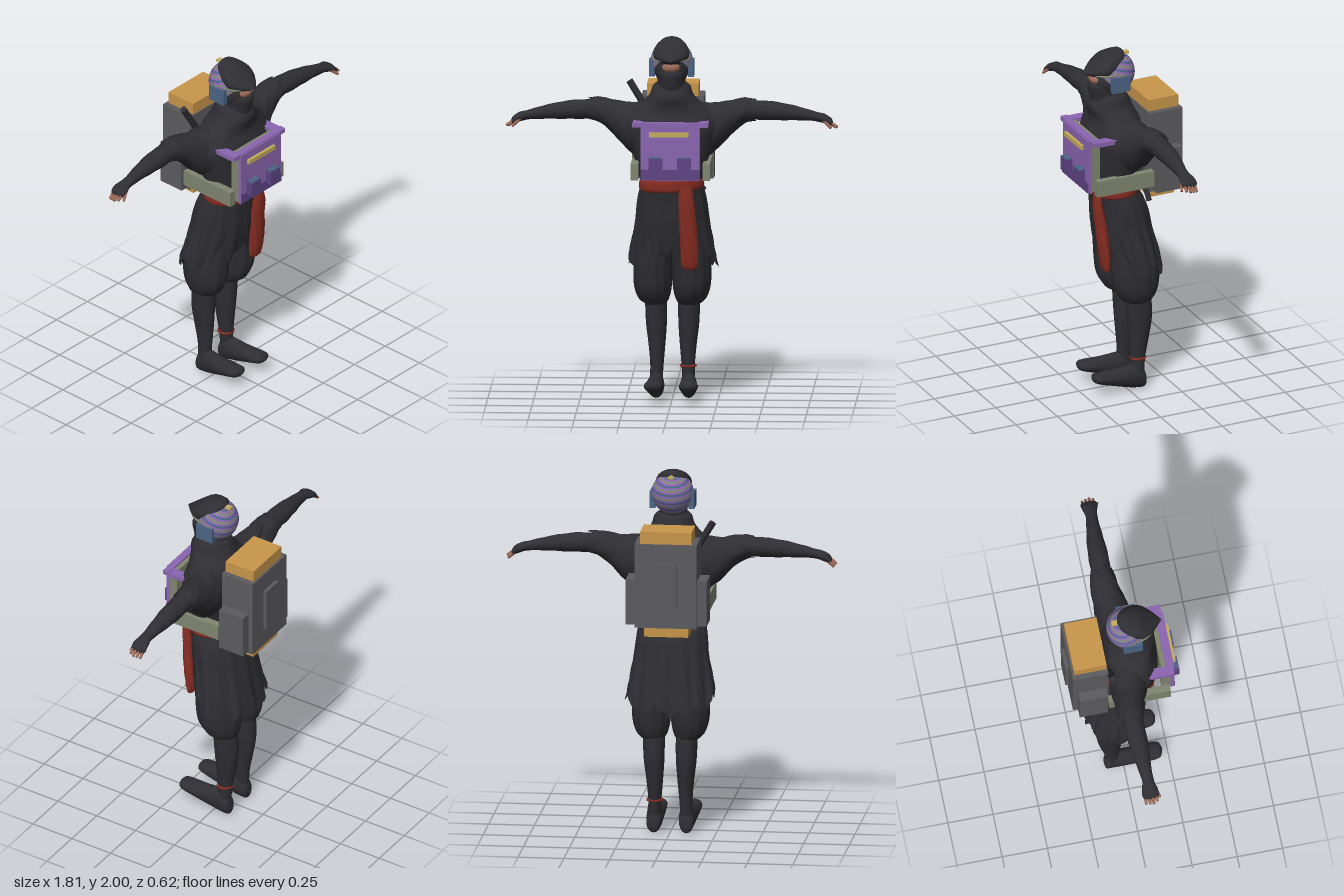
import * as THREE from 'three';

const mat = (name, color, side = THREE.FrontSide) => {
  const m = new THREE.MeshStandardMaterial({ color, side });
  m.name = name;
  return m;
};

// Closed-ring loft along an axis. Section: [along, c1, c2, r1, r2];
// centres and radii are (z,x) for axis y, (y,z) for axis x, (x,y) for axis z.
function loft(axis, sections, { seg = 24, sub = 4, fold } = {}) {
  const rows = [];
  const last = sections.length - 1;
  for (let i = 0; i < last; i++) {
    const [p0, p1, p2, p3] = [-1, 0, 1, 2].map(k => sections[Math.min(last, Math.max(0, i + k))]);
    for (let s = 0; s < sub; s++) {
      const t = s / sub;
      rows.push(p1.map((b, k) => {
        const v = 0.5 * (2 * b + (p2[k] - p0[k]) * t + (2 * p0[k] - 5 * b + 4 * p2[k] - p3[k]) * t * t
          + (3 * b - p0[k] - 3 * p2[k] + p3[k]) * t * t * t);
        return k > 2 ? Math.max(v, 0.001) : v;
      }));
    }
  }
  rows.push(sections[last]);
  const pos = [], idx = [], o = 'xyz'.indexOf(axis);
  const flip = sections[last][0] < sections[0][0];
  rows.forEach(([d, c1, c2, r1, r2], j) => {
    for (let i = 0; i < seg; i++) {
      const a = i / seg * Math.PI * 2;
      const [k, shift] = fold ? fold(a, j / (rows.length - 1)) : [1, 0];
      const p = [0, 0, 0];
      p[o] = d + shift;
      p[(o + 1) % 3] = c1 + Math.cos(a) * r1 * k;
      p[(o + 2) % 3] = c2 + Math.sin(a) * r2 * k;
      pos.push(...p);
      if (j === rows.length - 1) continue;
      const n = (i + 1) % seg, A = j * seg + i, B = j * seg + n, C = B + seg, D = A + seg;
      idx.push(...(flip ? [A, C, B, A, D, C] : [A, B, C, A, C, D]));
    }
  });
  const g = new THREE.BufferGeometry();
  g.setAttribute('position', new THREE.Float32BufferAttribute(pos, 3));
  g.setIndex(idx);
  g.computeVertexNormals();
  return g;
}

export function createModel() {
  const root = new THREE.Group();
  root.name = 'figure';
  const cloth = mat('blackCloth', 0x2e2e33, THREE.DoubleSide);
  const purple = mat('purple', 0x8b66b0), plum = mat('darkPurple', 0x5e4484);
  const orange = mat('orange', 0xc8964a), grey = mat('packGrey', 0x5c5c60);
  const sage = mat('sage', 0x7f866f), red = mat('red', 0x872d22, THREE.DoubleSide);
  const skin = mat('skin', 0x9c6a58), blue = mat('slateBlue', 0x4a6484), yellow = mat('yellow', 0xc4ad5c);

  const add = (name, geo, m) => {
    const mesh = new THREE.Mesh(geo, m);
    mesh.name = name;
    root.add(mesh);
    return mesh;
  };
  // Box from its min and max limits on each axis
  const box = (name, m, [x0, x1], [y0, y1], [z0, z1]) => add(name,
    new THREE.BoxGeometry(x1 - x0, y1 - y0, z1 - z0)
      .translate((x0 + x1) / 2, (y0 + y1) / 2, (z0 + z1) / 2), m);
  const ball = (name, m, c, r) => add(name,
    new THREE.SphereGeometry(1, 28, 20).scale(...r).translate(...c), m);
  // Straight rod between two points
  const rod = (name, m, a, b, r0, r1, seg = 8) => {
    const p = new THREE.Vector3(...a), d = new THREE.Vector3(...b).sub(p);
    const mesh = add(name, new THREE.CylinderGeometry(r1, r0, d.length(), seg), m);
    mesh.position.copy(p).addScaledVector(d, 0.5);
    mesh.quaternion.setFromUnitVectors(new THREE.Vector3(0, 1, 0), d.normalize());
  };
  const span = (s, a, b) => s > 0 ? [a, b] : [-b, -a];

  // Tunic body with cowl collar
  add('tunic', loft('y', [
    [1.15, 0.06, 0, 0.11, 0.155], [1.2, 0.06, 0, 0.12, 0.165], [1.3, 0.06, 0, 0.135, 0.19],
    [1.42, 0.055, 0, 0.145, 0.225], [1.52, 0.055, 0, 0.145, 0.25], [1.6, 0.045, 0, 0.13, 0.215],
    [1.645, 0.055, 0, 0.125, 0.16], [1.69, 0.07, 0, 0.12, 0.118], [1.74, 0.07, 0, 0.095, 0.1],
    [1.77, 0.075, 0, 0.07, 0.06]
  ], { seg: 40, fold: (a, t) => [1 + 0.015 * Math.sin(a * 9 + t * 14), 0] }), cloth);

  // Ragged skirt, longest at the back
  add('skirt', loft('y', [
    [0.76, -0.045, 0, 0.165, 0.235], [0.85, -0.025, 0, 0.16, 0.222], [0.98, 0, 0, 0.155, 0.2],
    [1.1, 0.02, 0, 0.145, 0.19], [1.21, 0.06, 0, 0.12, 0.165]
  ], {
    seg: 96, sub: 5,
    fold: (a, t) => [
      1 + (1 - t) * (0.045 * Math.sin(a * 13) + 0.03 * Math.sin(a * 29 + t * 12)),
      (1 - t) ** 3 * (0.055 * Math.cos(a) + 0.025 * Math.sin(a * 7 + 1) + 0.02 * Math.sin(a * 23))
    ]
  }), cloth);

  // Waist sash and hanging tail
  add('sash', loft('y', [
    [1.165, 0.055, 0, 0.13, 0.16], [1.18, 0.055, 0, 0.138, 0.176],
    [1.225, 0.058, 0, 0.136, 0.174], [1.24, 0.058, 0, 0.12, 0.16]
  ], { seg: 40, fold: a => [1, 0.008 * Math.sin(a)] }), red);
  add('sashTail', loft('y', [
    [0.735, 0.14, 0.105, 0.002, 0.01], [0.76, 0.14, 0.1, 0.018, 0.042], [0.88, 0.15, 0.1, 0.028, 0.046],
    [1.02, 0.165, 0.09, 0.028, 0.044], [1.12, 0.178, 0.085, 0.022, 0.04], [1.2, 0.18, 0.08, 0.015, 0.03]
  ], { seg: 32, fold: (a, t) => [1 + 0.12 * Math.sin(a * 8 + t * 16), 0] }), red);

  for (const s of [1, -1]) {
    const side = s > 0 ? 'left' : 'right';

    // Baggy trouser leg, shin and foot
    add(side + 'Trouser', loft('y', [
      [0.52, -0.06, s * 0.09, 0.06, 0.05], [0.55, -0.05, s * 0.1, 0.095, 0.08],
      [0.62, -0.04, s * 0.105, 0.125, 0.1], [0.72, -0.035, s * 0.105, 0.135, 0.104],
      [0.85, -0.02, s * 0.095, 0.13, 0.1], [1, 0, s * 0.08, 0.11, 0.08]
    ], { seg: 48, fold: a => [1 + 0.025 * Math.sin(a * 12), 0] }), cloth);
    add(side + 'Shin', loft('y', [
      [0.07, -0.06, s * 0.09, 0.035, 0.035], [0.18, -0.062, s * 0.085, 0.042, 0.036],
      [0.3, -0.068, s * 0.085, 0.058, 0.046], [0.42, -0.072, s * 0.088, 0.07, 0.057],
      [0.56, -0.065, s * 0.09, 0.07, 0.06]
    ]), cloth);
    add(side + 'Foot', loft('z', [
      [-0.105, s * 0.09, 0.045, 0.005, 0.01], [-0.095, s * 0.09, 0.055, 0.035, 0.05],
      [-0.05, s * 0.088, 0.075, 0.044, 0.07], [0, s * 0.09, 0.08, 0.046, 0.064],
      [0.08, s * 0.092, 0.088, 0.05, 0.048], [0.16, s * 0.095, 0.1, 0.052, 0.034],
      [0.2, s * 0.095, 0.105, 0.042, 0.024], [0.215, s * 0.095, 0.105, 0.005, 0.005]
    ]), cloth);

    // Batwing sleeve, then a narrower forearm
    add(side + 'Sleeve', loft('x', [
      [s * 0.08, 1.5, 0.02, 0.13, 0.1], [s * 0.17, 1.49, 0.015, 0.15, 0.105], [s * 0.25, 1.51, 0.005, 0.125, 0.095],
      [s * 0.33, 1.56, -0.01, 0.09, 0.08], [s * 0.4, 1.592, -0.015, 0.068, 0.07],
      [s * 0.445, 1.595, -0.015, 0.06, 0.06]
    ], { seg: 32, fold: (a, t) => [1 + 0.03 * Math.sin(a * 7 + t * 20), t ** 4 * 0.015 * Math.sin(a * 5)] }), cloth);
    add(side + 'Forearm', loft('x', [
      [s * 0.38, 1.595, -0.015, 0.05, 0.05], [s * 0.5, 1.592, -0.012, 0.053, 0.055],
      [s * 0.6, 1.586, -0.01, 0.047, 0.05], [s * 0.7, 1.575, -0.005, 0.036, 0.038],
      [s * 0.78, 1.562, 0, 0.026, 0.032], [s * 0.83, 1.549, 0, 0.026, 0.043],
      [s * 0.865, 1.53, 0, 0.02, 0.042], [s * 0.875, 1.522, 0, 0.002, 0.01]
    ], { fold: (a, t) => [1 + 0.025 * Math.sin(a * 3 + t * 40), 0] }), cloth);

    // Fingers and thumb
    for (let i = 0; i < 4; i++) {
      const z = -0.03 + i * 0.02;
      rod(side + 'Finger', skin, [s * 0.85, 1.535, z], [s * (0.89 + 0.005 * (i % 3)), 1.497 + 0.004 * i, z], 0.011, 0.007);
    }
    rod(side + 'Thumb', skin, [s * 0.825, 1.545, 0.03], [s * 0.865, 1.505, 0.05], 0.011, 0.007);

    // Helmet ear guard, harness straps and pack side pocket
    box(side + 'EarGuard', blue, span(s, 0.09, 0.122), [1.79, 1.88], [0, 0.105]);
    box(side + 'WaistStrap', sage, span(s, 0.175, 0.215), [1.24, 1.33], [-0.1, 0.24]);
    box(side + 'ShoulderBracket', purple, span(s, 0.15, 0.205), [1.53, 1.555], [0.1, 0.235]);
    box(side + 'PackPocket', grey, span(s, 0.165, 0.222), [1.2, 1.45], [-0.265, -0.11]);
    box(side + 'ChestPouch', plum, span(s, 0.04, 0.115), [1.29, 1.37], [0.26, 0.307]);
    box(side + 'PouchBase', blue, span(s, 0.045, 0.11), [1.365, 1.374], [0.265, 0.304]);
  }
  add('anklet', new THREE.TorusGeometry(0.04, 0.007, 8, 24).rotateX(Math.PI / 2)
    .translate(0.085, 0.182, -0.062), red);

  // Head: black wrap, face opening, mask
  ball('headWrap', cloth, [0, 1.835, 0.075], [0.095, 0.1, 0.1]);
  ball('face', skin, [0, 1.848, 0.1], [0.066, 0.045, 0.088]);
  add('mask', loft('y', [
    [1.7, 0.08, 0, 0.09, 0.08], [1.76, 0.085, 0, 0.1, 0.075], [1.8, 0.09, 0, 0.104, 0.078],
    [1.826, 0.09, 0, 0.098, 0.075], [1.83, 0.09, 0, 0.07, 0.06]
  ]), cloth);
  // Peaked hood
  add('hood', loft('z', [
    [-0.015, 0, 1.975, 0.005, 0.005], [0.005, 0, 1.963, 0.055, 0.035], [0.05, 0, 1.932, 0.088, 0.066],
    [0.1, 0, 1.918, 0.098, 0.068], [0.14, 0, 1.908, 0.088, 0.05], [0.18, 0, 1.898, 0.058, 0.03],
    [0.21, 0, 1.893, 0.025, 0.013], [0.23, 0, 1.89, 0.002, 0.002]
  ]), cloth);

  // Helmet shell with cycling stripes, one geometry group per row
  const cols = 40, rowsN = 30;
  const shell = new THREE.SphereGeometry(0.115, cols, rowsN);
  const stripes = [purple, sage, purple, blue];
  for (let r = 0, start = 0; r < rowsN; r++) {
    const count = cols * (r === 0 || r === rowsN - 1 ? 3 : 6);
    shell.addGroup(start, count, r % 4);
    start += count;
  }
  const helmet = add('helmet', shell, stripes);
  helmet.position.set(0, 1.868, 0.042);
  helmet.rotation.x = -0.3;
  add('brow', new THREE.TorusGeometry(0.102, 0.006, 6, 28, Math.PI).rotateX(Math.PI / 2)
    .scale(1, 1, 1.15).translate(0, 1.885, 0.07), sage);
  box('helmetCrest', yellow, [-0.014, 0.014], [1.962, 1.975], [-0.045, 0.02]);

  // Chest rig
  box('chestBacking', sage, [-0.16, 0.16], [1.25, 1.55], [0.2, 0.25]);
  box('chestPlate', purple, [-0.16, 0.16], [1.245, 1.555], [0.25, 0.27]);
  box('chestTopRail', purple, [-0.205, 0.205], [1.535, 1.56], [0.225, 0.262]);
  box('chestLowerPanel', plum, [-0.16, 0.16], [1.248, 1.305], [0.268, 0.274]);
  box('chestBar', yellow, [-0.112, 0.1], [1.485, 1.51], [0.265, 0.287]);

  // Backpack with bedroll blocks
  box('pack', grey, [-0.17, 0.17], [1.19, 1.655], [-0.292, -0.095]);
  box('packPanel', grey, [-0.06, 0.06], [1.3, 1.55], [-0.312, -0.29]);
  box('packTop', orange, [-0.14, 0.14], [1.655, 1.722], [-0.28, -0.1]);
  box('packBottom', orange, [-0.12, 0.12], [1.135, 1.19], [-0.265, -0.115]);

  // Sword slung across the back
  rod('swordHandle', cloth, [-0.15, 1.6, -0.08], [-0.235, 1.74, -0.085], 0.019, 0.019);
  rod('scabbard', cloth, [0.17, 1.14, -0.09], [-0.15, 1.6, -0.08], 0.016, 0.018);
  return root;
}
